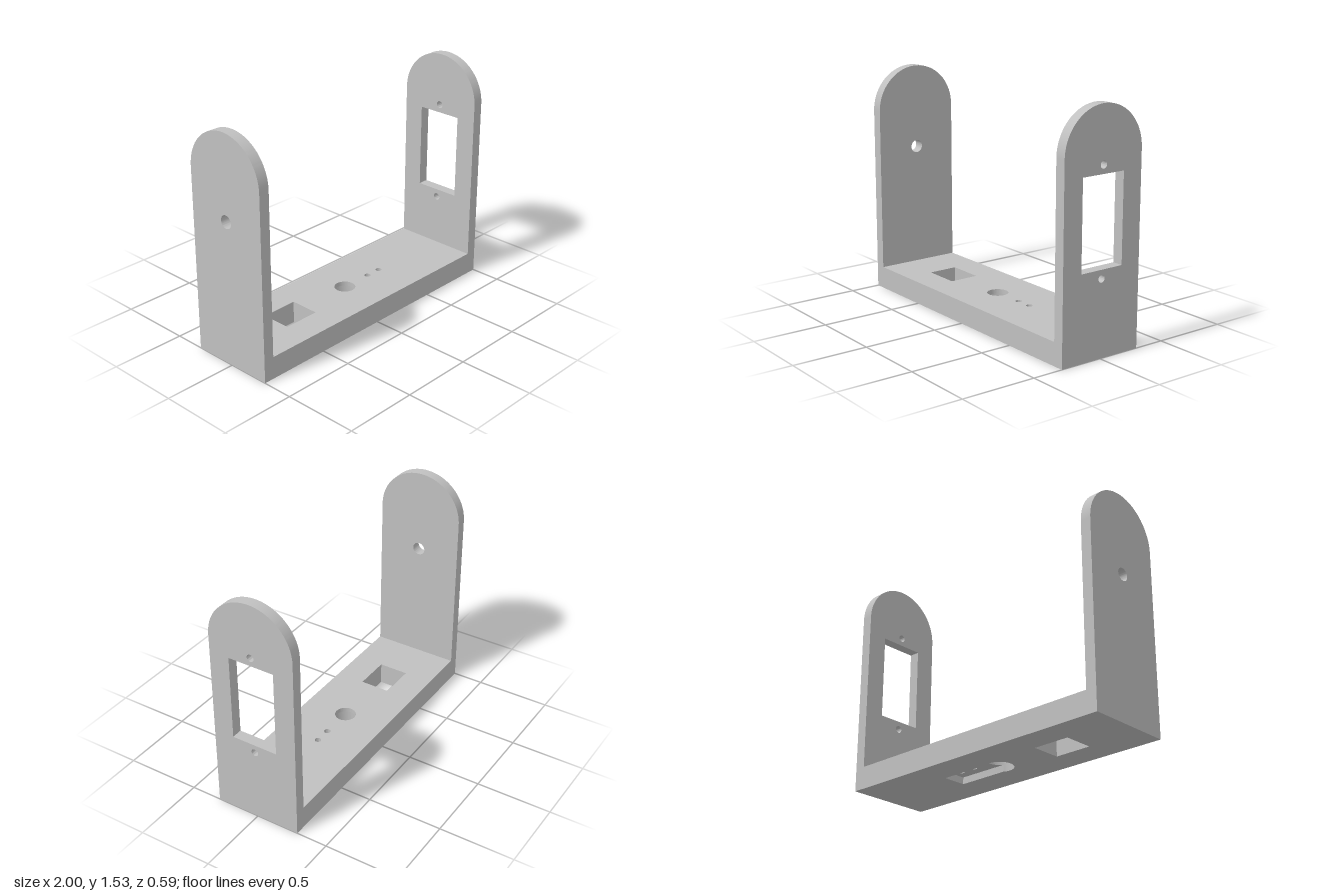
import * as THREE from 'three';
import { toCreasedNormals } from 'three/addons/utils/BufferGeometryUtils.js';

const HALF_DEPTH = 0.293, WALL = 0.072, INNER = 1 - WALL;

function rect(target, x0, y0, x1, y1) {
  target.moveTo(x0, y0);
  target.lineTo(x1, y0);
  target.lineTo(x1, y1);
  target.lineTo(x0, y1);
  target.closePath();
  return target;
}
const rectHole = (...c) => rect(new THREE.Path(), ...c);
const roundHole = (x, y, r) => new THREE.Path().absarc(x, y, r, 0, Math.PI * 2, false);

function extrude(shape, depth) {
  return new THREE.ExtrudeGeometry(shape, { depth, bevelEnabled: false, curveSegments: 40 });
}

export function createModel() {
  const group = new THREE.Group();
  const gray = new THREE.MeshStandardMaterial({ color: 0xc0c0c0 });
  gray.name = 'gray';

  function add(name, geometry) {
    const mesh = new THREE.Mesh(toCreasedNormals(geometry, 0.5), gray);
    mesh.name = name;
    group.add(mesh);
  }

  // Upright arms with rounded tops, drawn in the z-y plane
  function arm(name, outerX, holes) {
    const s = new THREE.Shape();
    s.moveTo(-HALF_DEPTH, 0);
    s.lineTo(HALF_DEPTH, 0);
    s.lineTo(HALF_DEPTH, 1.237);
    s.absarc(0, 1.237, HALF_DEPTH, 0, Math.PI, false);
    s.closePath();
    s.holes.push(...holes);
    add(name, extrude(s, WALL).rotateY(-Math.PI / 2).translate(outerX, 0, 0));
  }
  arm('servoArm', 1, [
    rectHole(-0.156, 0.55, 0.156, 1.12),
    roundHole(0, 1.175, 0.024),
    roundHole(0, 0.495, 0.024),
  ]);
  arm('pivotArm', -INNER, [roundHole(0, 0.97, 0.043)]);

  // Base in layers, so that the openings can step in depth
  function baseLayer(name, y0, y1, holes) {
    const s = rect(new THREE.Shape(), -INNER, -HALF_DEPTH, INNER, HALF_DEPTH);
    s.holes.push(rectHole(-0.625, -0.1, -0.375, 0.1), ...holes);
    add(name, extrude(s, y1 - y0).rotateX(Math.PI / 2).translate(0, y1, 0));
  }

  // Underside recess: round counterbore joined to a straight slot
  const r = 0.091, w = 0.08, a = Math.asin(w / r);
  const keyhole = new THREE.Path();
  keyhole.absarc(0, 0, r, a, Math.PI * 2 - a, false);
  keyhole.lineTo(0.39, -w);
  keyhole.lineTo(0.39, w);
  keyhole.closePath();

  const screwHoles = () => [0.22, 0.33].map((x) => roundHole(x, 0, 0.021));
  baseLayer('baseBottom', 0, 0.045, [keyhole]);
  baseLayer('baseMiddle', 0.045, 0.12, [roundHole(0, 0, r), ...screwHoles()]);
  baseLayer('baseTop', 0.12, 0.15, [roundHole(0, 0, 0.069), ...screwHoles()]);

  return group;
}
